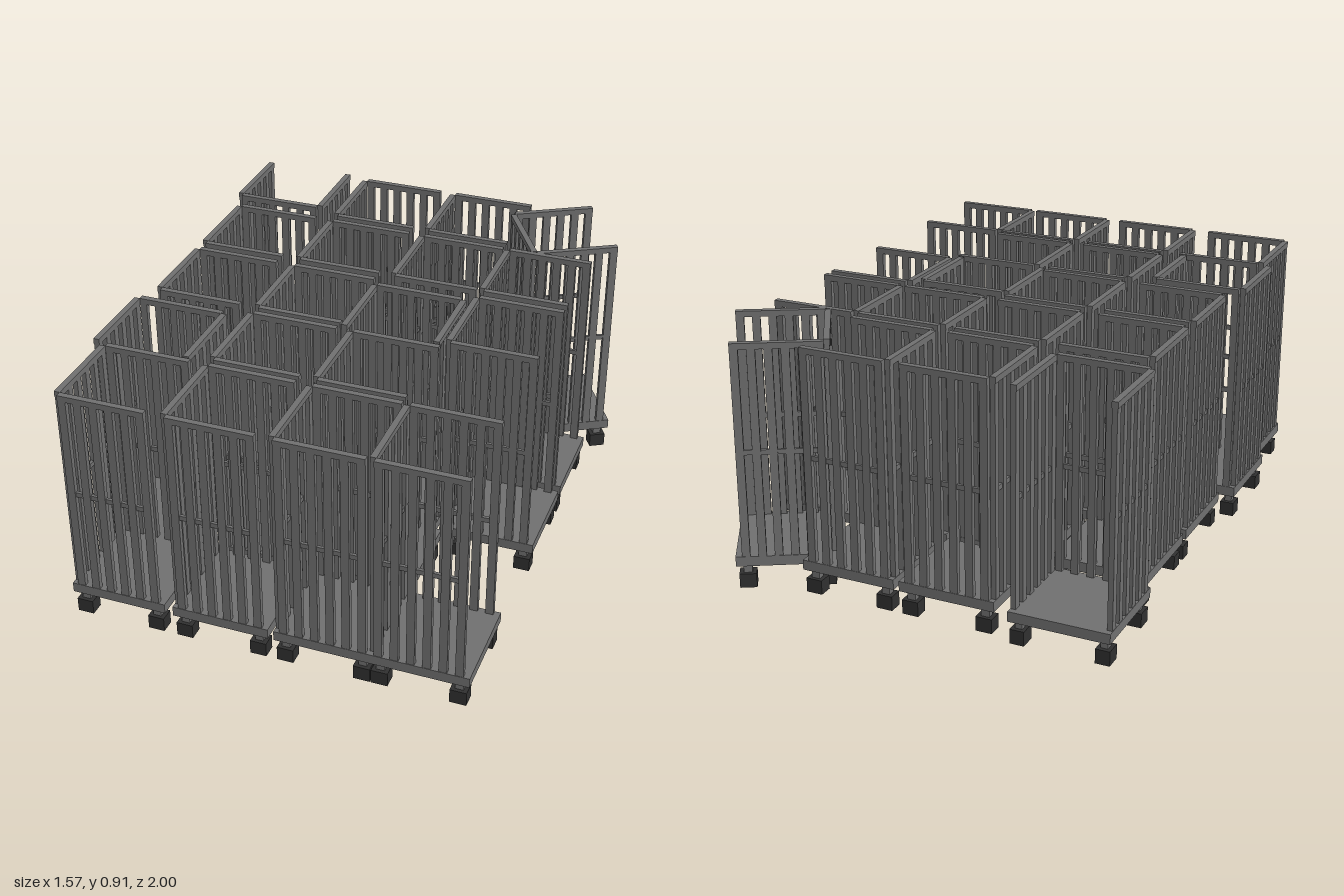
import * as THREE from 'three';

const steel = new THREE.MeshStandardMaterial({ color: 0x707070 });
const rubber = new THREE.MeshStandardMaterial({ color: 0x303030 });

const LENGTH = 0.357, WIDTH = 0.363; // cart footprint, x and z
const FLOOR = 0.122, TOP = 0.908;    // deck surface and top of the fences
const THICK = 0.022;

function box(parent, name, size, pos, material = steel) {
  const mesh = new THREE.Mesh(new THREE.BoxGeometry(...size), material);
  mesh.name = name;
  mesh.position.set(...pos);
  parent.add(mesh);
}

// Slatted fence along local x, centred on its own origin
function makeFence(name, pitch, slatWidth) {
  const fence = new THREE.Group();
  fence.name = name;
  const span = pitch * 5 + slatWidth;
  for (let i = 0; i < 6; i++) {
    box(fence, 'slat', [slatWidth, TOP - 0.02 - FLOOR, THICK * 0.85],
      [(i - 2.5) * pitch, (FLOOR + TOP - 0.02) / 2, 0]);
  }
  box(fence, 'topRail', [span, 0.022, THICK], [0, TOP - 0.011, 0]);
  box(fence, 'middleRail', [span, 0.018, THICK * 0.5], [0, 0.512, 0]);
  return fence;
}

// Rolling cage cart: fenced on three sides, open towards +x
function makeCart() {
  const cart = new THREE.Group();
  box(cart, 'deck', [LENGTH, 0.037, WIDTH], [0, FLOOR - 0.0185, 0]);

  const back = makeFence('endFence', 0.059, 0.026);
  back.rotation.y = Math.PI / 2;
  back.position.x = -LENGTH / 2 + THICK / 2;
  cart.add(back);

  for (const s of [-1, 1]) {
    const side = makeFence('sideFence', 0.057, 0.029);
    side.position.set(-0.001, 0, s * (WIDTH / 2 - THICK / 2));
    cart.add(side);

    for (const e of [-1, 1]) {
      const x = e * 0.139, z = s * 0.152;
      box(cart, 'casterStem', [0.03, 0.035, 0.026], [x, 0.0695, z], rubber.clone());
      cart.children.at(-1).material = steel;
      box(cart, 'casterWheel', [0.06, 0.053, 0.052], [x, 0.0265, z], rubber);
    }
  }
  return cart;
}

export function createModel() {
  const model = new THREE.Group();
  model.name = 'cageCarts';
  const cols = [-0.567, -0.179, 0.199, 0.541];

  // Regular rows: z centre and occupied columns
  const rows = [
    [0.818, [0, 1, 2, 3]],
    [0.435, [1, 2]],
    [0.05, [0, 1, 3]],
    [-0.345, [0, 1, 2, 3]],
    [-0.737, [1, 2]],
  ];
  // Carts standing out of line: x, z, turn
  const carts = [
    [-0.605, 0.471, -Math.PI / 2],
    [0.165, 0.083, -Math.PI / 2],
    [-0.605, -0.776, Math.PI / 2],
    [0.537, -0.7536, Math.PI / 6],
  ];
  for (const [z, used] of rows) for (const c of used) carts.push([cols[c], z, 0]);

  const prototype = makeCart();
  carts.forEach(([x, z, turn], i) => {
    const cart = prototype.clone();
    cart.name = `cart${i + 1}`;
    cart.position.set(x, 0, z);
    cart.rotation.y = turn;
    model.add(cart);
  });
  return model;
}
